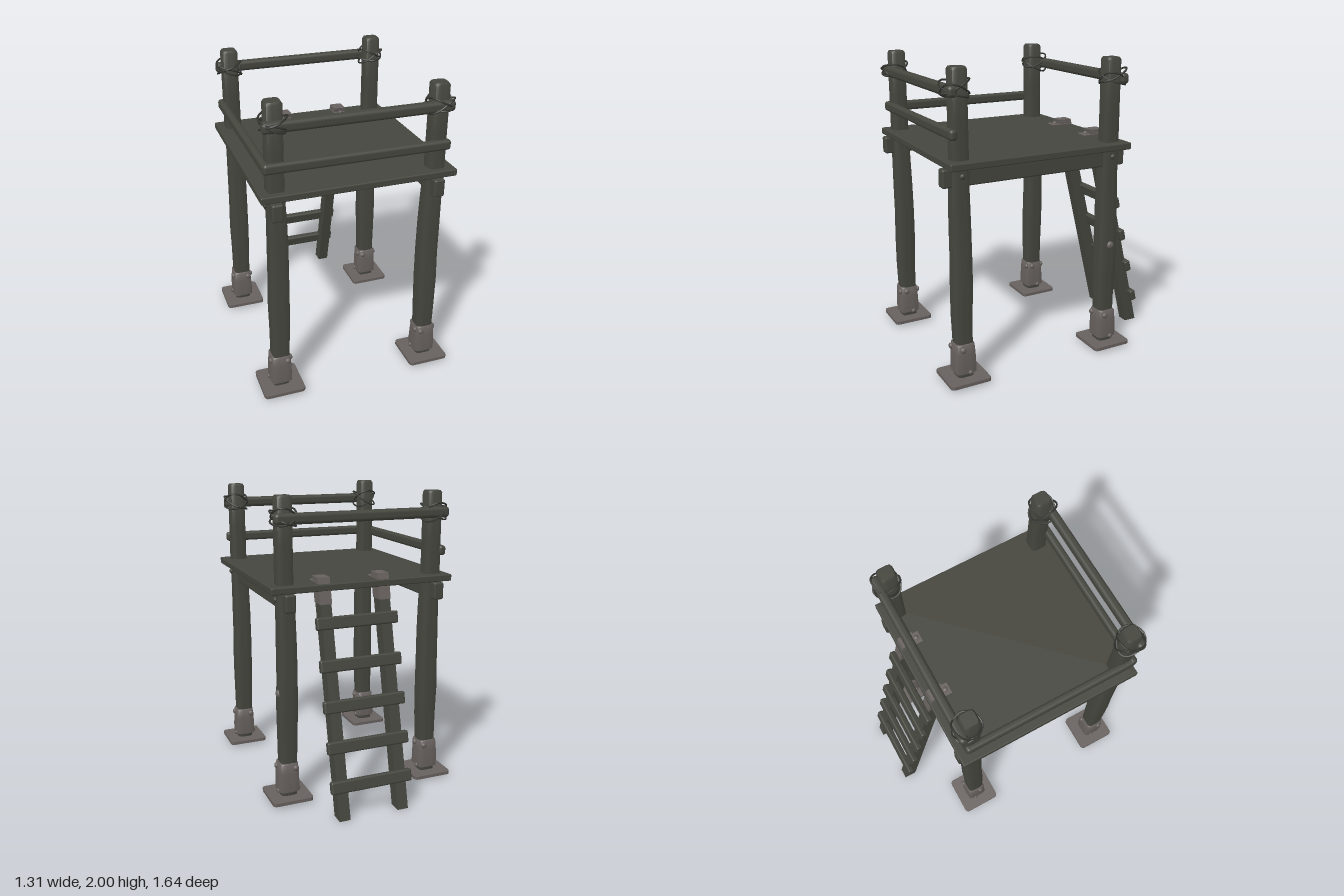
import * as THREE from 'three';
import { mergeVertices, toCreasedNormals } from 'three/addons/utils/BufferGeometryUtils.js';
import { RoundedBoxGeometry } from 'three/addons/geometries/RoundedBoxGeometry.js';

const mat = (name, color) => {
  const m = new THREE.MeshStandardMaterial({ color });
  m.name = name;
  return m;
};
const wood = mat('weathered wood', 0x45463e);
const metal = mat('dull metal', 0x67615e);
const wire = mat('dark binding', 0x343530);

function add(parent, name, geometry, material, x = 0, y = 0, z = 0) {
  const mesh = new THREE.Mesh(geometry, material);
  mesh.name = name;
  mesh.position.set(x, y, z);
  parent.add(mesh);
  return mesh;
}

const rounded = (w, h, d, r) => new RoundedBoxGeometry(w, h, d, 3, r);

// Rounded-square column through rings of [y, halfWidth, offsetX, offsetZ], bottom to top
function column(rings, power) {
  let g = new THREE.CylinderGeometry(1, 1, 1, 24, rings.length - 1);
  const p = g.attributes.position;
  for (let i = 0; i < p.count; i++) {
    const [y, half, ox, oz] = rings[Math.round((p.getY(i) + 0.5) * (rings.length - 1))];
    const x = p.getX(i), z = p.getZ(i);
    const len = Math.hypot(x, z);
    const k = len < 1e-6 ? 0 : half / Math.pow(Math.abs(x) ** power + Math.abs(z) ** power, 1 / power);
    p.setXYZ(i, x * k + ox, y, z * k + oz);
  }
  g.deleteAttribute('uv');
  g.deleteAttribute('normal');
  g = mergeVertices(g, 1e-5);
  return toCreasedNormals(g, 0.75);
}

// Bolt head pointing along an axis
function bolt(parent, x, y, z, axis, r = 0.02, material = metal) {
  const g = new THREE.SphereGeometry(r, 12, 8);
  g.scale(axis === 'x' ? 0.7 : 1, axis === 'y' ? 0.7 : 1, axis === 'z' ? 0.7 : 1);
  add(parent, 'bolt', g, material, x, y, z);
}

// Tilted loop of wire around a post and its rail
function wireLoop(rx, rz, tiltX, tiltZ, phase) {
  const pts = [];
  for (let i = 0; i < 12; i++) {
    const a = (i / 12) * Math.PI * 2;
    const c = Math.cos(a), s = Math.sin(a);
    const k = 1 + 0.06 * Math.sin(3 * a + phase);
    pts.push(new THREE.Vector3(c * rx * k, c * tiltX + s * tiltZ + 0.008 * Math.sin(2 * a + phase), s * rz * k));
  }
  return new THREE.TubeGeometry(new THREE.CatmullRomCurve3(pts, true), 40, 0.006, 6, true);
}

function buildCorner(sx, front) {
  const corner = new THREE.Group();
  corner.name = (front ? 'front' : 'back') + (sx > 0 ? 'Left' : 'Right') + 'Leg';
  corner.position.set(sx > 0 ? 0.512 : -0.518, 0, front ? 0.685 : -0.383);
  const inX = -sx;

  // Slightly uneven timber post
  add(corner, 'post', column([
    [0.03, 0.055, 0, 0], [0.25, 0.056, inX * 0.003, 0], [0.45, 0.06, inX * 0.006, 0.002],
    [0.65, 0.063, inX * 0.006, -0.002], [0.85, 0.061, inX * 0.009, -0.004],
    [1.05, 0.06, inX * 0.009, -0.002], [1.25, 0.057, inX * 0.007, 0],
    [1.42, 0.054, 0, 0], [1.7, 0.053, 0, 0], [1.985, 0.053, 0, 0], [2.0, 0.044, 0, 0],
  ], 5), wood);
  bolt(corner, sx * 0.058, 1.36, 0, 'x', 0.018, wood);

  // Metal shoe and base plate
  add(corner, 'shoe', column([
    [0.07, 0.07, 0, 0], [0.12, 0.071, 0, 0], [0.2, 0.068, 0, 0], [0.262, 0.063, 0, 0], [0.27, 0.056, 0, 0],
  ], 6), metal);
  const s = new THREE.Shape();
  const h = 0.138, r = 0.025;
  s.absarc(h - r, h - r, r, 0, Math.PI / 2);
  s.absarc(r - h, h - r, r, Math.PI / 2, Math.PI);
  s.absarc(r - h, r - h, r, Math.PI, Math.PI * 1.5);
  s.absarc(h - r, r - h, r, Math.PI * 1.5, Math.PI * 2);
  const plate = new THREE.ExtrudeGeometry(s, { depth: 0.022, bevelEnabled: false, curveSegments: 5 });
  plate.rotateX(-Math.PI / 2);
  add(corner, 'basePlate', plate, metal, 0, 0.019, 0);
  for (const d of [-1, 1]) {
    bolt(corner, 0.04 * inX, 0.235, d * 0.066, 'z');
    bolt(corner, d * 0.066, 0.235, 0.025, 'x');
    bolt(corner, d * 0.071, 0.075, -0.02, 'x', 0.016);
  }

  // Wire lashing around post and top rail
  const dz = front ? 0.016 : -0.016;
  [[0.04, 0.02, 0], [-0.035, 0.03, 2], [0.015, -0.04, 4]].forEach(([tx, tz, ph], i) =>
    add(corner, 'lashing', wireLoop(0.08, 0.086, tx * sx, tz, ph), wire, 0, 1.855 + i * 0.012, dz));
  return corner;
}

function buildLadder() {
  const ladder = new THREE.Group();
  ladder.name = 'ladder';
  const slope = 0.239;
  const zAt = (y) => -0.775 + slope * y;

  // Leaning side rail, cut level at both ends
  const slanted = (y0, y1, half, width) => {
    const s = new THREE.Shape([
      new THREE.Vector2(zAt(y0) - half, y0), new THREE.Vector2(zAt(y0) + half, y0),
      new THREE.Vector2(zAt(y1) + half, y1), new THREE.Vector2(zAt(y1) - half, y1),
    ]);
    const g = new THREE.ExtrudeGeometry(s, { depth: width, bevelEnabled: false });
    g.translate(0, 0, -width / 2);
    g.rotateY(-Math.PI / 2);
    return g;
  };
  for (const x of [-0.128, 0.278]) {
    add(ladder, 'ladderRail', slanted(0, 1.47, 0.044, 0.074), wood, x);
    // Metal bracket hooked over the platform edge
    add(ladder, 'bracketSleeve', slanted(1.33, 1.495, 0.049, 0.08), metal, x);
    add(ladder, 'bracketPlate', rounded(0.082, 0.012, 0.11, 0.005), metal, x, 1.459, -0.378);
    bolt(ladder, x, 1.468, -0.355, 'y', 0.017);
  }
  for (const y of [0.212, 0.456, 0.705, 0.955, 1.215]) {
    const rung = add(ladder, 'rung', rounded(0.56, 0.08, 0.044, 0.012), wood, 0.075, y, zAt(y) - 0.042);
    rung.rotation.x = Math.atan(slope);
  }
  return ladder;
}

export function createModel() {
  const tower = new THREE.Group();
  tower.name = 'watchPlatform';

  for (const sx of [-1, 1]) for (const front of [true, false]) tower.add(buildCorner(sx, front));

  // Knot on one back post
  bolt(tower, 0.562, 0.745, -0.39, 'x', 0.028);

  // Deck and the two bearers beneath it
  add(tower, 'deck', rounded(1.25, 0.045, 1.27, 0.008), wood, 0, 1.432, 0.147);
  for (const x of [-0.53, 0.503])
    add(tower, 'bearer', rounded(0.07, 0.115, 1.295, 0.012), wood, x, 1.347, 0.153);

  // Guard rails
  add(tower, 'frontTopRail', rounded(1.19, 0.07, 0.06, 0.024), wood, -0.005, 1.863, 0.74);
  add(tower, 'backTopRail', rounded(1.19, 0.07, 0.06, 0.024), wood, -0.005, 1.863, -0.45);
  add(tower, 'frontMiddleRail', rounded(1.18, 0.066, 0.05, 0.02), wood, -0.008, 1.612, 0.737);
  add(tower, 'sideMiddleRail', rounded(0.05, 0.066, 1.19, 0.02), wood, -0.577, 1.608, 0.15);

  tower.add(buildLadder());
  return tower;
}
